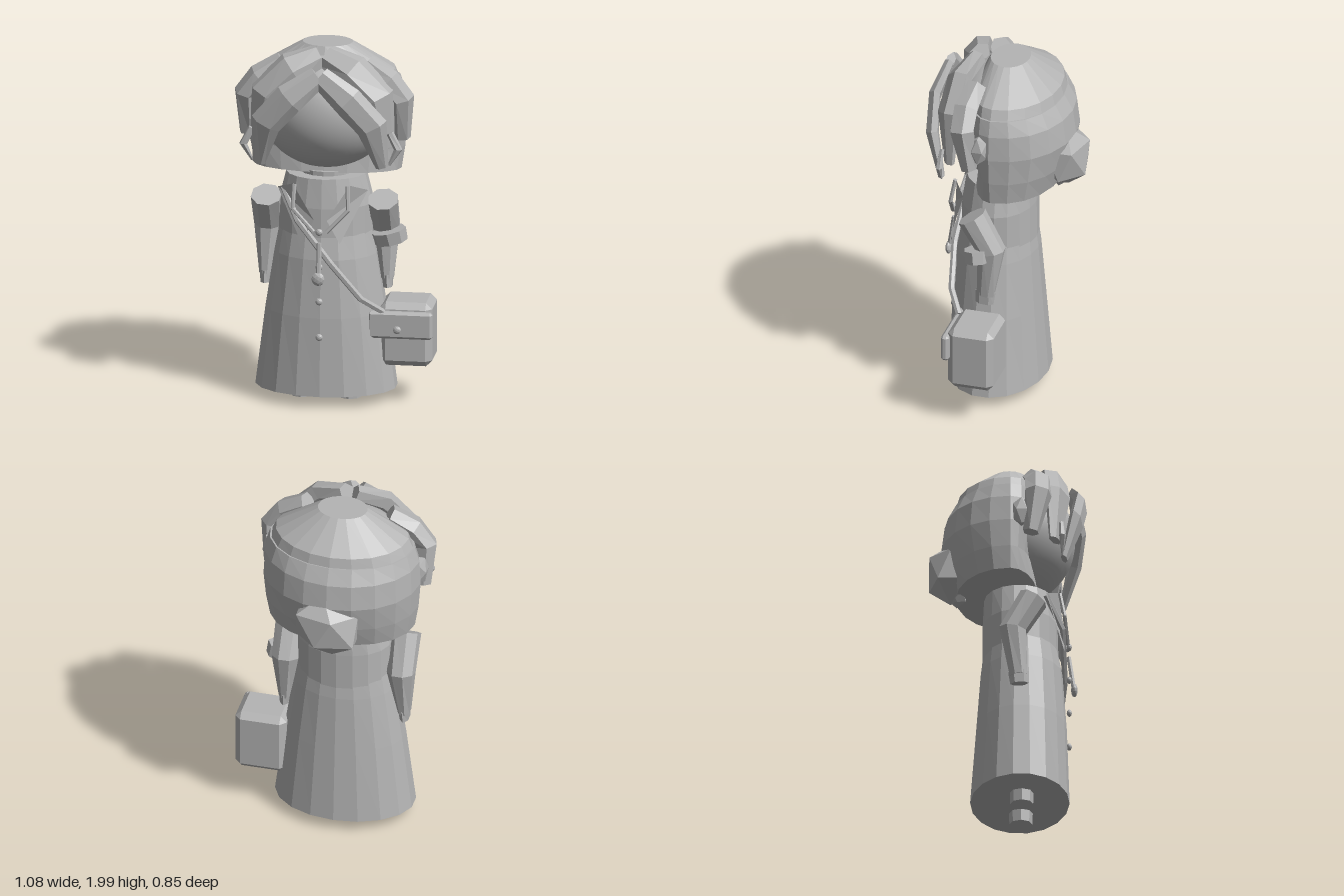
import * as THREE from 'three';
import { ConvexGeometry } from 'three/addons/geometries/ConvexGeometry.js';

const V = (x, y, z) => new THREE.Vector3(x, y, z);
const CX = -0.055; // mirror plane of the figure
const mirrored = (p) => [2 * CX - p[0], p[1], p[2]];

// Faceted copy of a geometry
function flat(geo) {
  const g = geo.index ? geo.toNonIndexed() : geo;
  g.computeVertexNormals();
  return g;
}

// Box with every edge cut at 45 degrees
function chamferBox(w, h, d, c) {
  const pts = [];
  for (const x of [-w / 2, w / 2]) for (const y of [-h / 2, h / 2]) for (const z of [-d / 2, d / 2]) {
    const ix = x - Math.sign(x) * c, iy = y - Math.sign(y) * c, iz = z - Math.sign(z) * c;
    pts.push(V(x, iy, iz), V(ix, y, iz), V(ix, iy, z));
  }
  return new ConvexGeometry(pts);
}

// Closed skin over cross-sections with equal point counts
function loft(sections) {
  const pos = [];
  const tri = (...p) => p.forEach((v) => pos.push(v.x, v.y, v.z));
  const n = sections[0].length;
  const middle = (s) => s.reduce((m, p) => m.add(p), V(0, 0, 0)).divideScalar(n);
  const first = sections[0], last = sections[sections.length - 1];
  const c0 = middle(first), c1 = middle(last);
  for (let i = 0; i < n; i++) {
    const j = (i + 1) % n;
    for (let k = 0; k < sections.length - 1; k++) {
      const a = sections[k], b = sections[k + 1];
      tri(a[i], a[j], b[i]);
      tri(a[j], b[j], b[i]);
    }
    tri(c0, first[j], first[i]);
    tri(c1, last[i], last[j]);
  }
  const g = new THREE.BufferGeometry();
  g.setAttribute('position', new THREE.Float32BufferAttribute(pos, 3));
  g.computeVertexNormals();
  return g;
}

// Upright form: rows of [y, half width, back z, front z] around a z centre
function upright(rows, cz, sides = 18) {
  return loft(rows.map(([y, rx, back, front]) =>
    Array.from({ length: sides }, (_, i) => {
      const a = (i / sides) * Math.PI * 2, c = Math.cos(a);
      return V(CX + rx * Math.sin(a), y, cz + c * (c > 0 ? front - cz : cz - back));
    })));
}

// Limb or lock: path points with [thickness, width] per point, facing away from a centre
function sweep(points, sizes, sides, centre) {
  const pts = points.map((p) => V(...p));
  return loft(pts.map((p, k) => {
    const t = pts[Math.min(k + 1, pts.length - 1)].clone()
      .sub(pts[Math.max(k - 1, 0)]).normalize();
    const n = p.clone().sub(centre);
    n.addScaledVector(t, -n.dot(t)).normalize();
    const s = t.clone().cross(n);
    return Array.from({ length: sides }, (_, i) => {
      const a = ((i + 0.5) / sides) * Math.PI * 2;
      return p.clone().addScaledVector(n, Math.cos(a) * sizes[k][0])
        .addScaledVector(s, Math.sin(a) * sizes[k][1]);
    });
  }));
}

// Thin cord through straight stretches
function cord(points, r) {
  return sweep(points, points.map(() => [r, r]), 6, V(CX, 0.9, -1));
}

export function createModel() {
  const model = new THREE.Group();
  model.name = 'figure';
  const grey = new THREE.MeshStandardMaterial({ color: 0xb4b4b4 });
  grey.name = 'plain grey';
  grey.side = THREE.DoubleSide;

  const add = (name, geo, at = [0, 0, 0]) => {
    const m = new THREE.Mesh(geo, grey);
    m.name = name;
    m.position.set(...at);
    model.add(m);
    return m;
  };
  const gem = (name, at, size, detail = 0) => {
    const m = add(name, flat(new THREE.IcosahedronGeometry(1, detail)), at);
    m.scale.set(...size);
    return m;
  };

  // Coat, upper body and neck
  add('coat', upright([
    [0.065, 0.385, -0.205, 0.33], [0.5, 0.33, -0.172, 0.315],
    [0.82, 0.28, -0.148, 0.292], [0.98, 0.25, -0.128, 0.262]], 0.065));
  add('upperBody', upright([
    [0.85, 0.258, -0.14, 0.272], [1.1, 0.258, -0.138, 0.265], [1.26, 0.218, -0.13, 0.242]], 0.06));
  add('neck', flat(new THREE.CylinderGeometry(0.15, 0.15, 0.07, 16)), [CX, 1.25, 0.03]);

  // Face and hair cap
  const face = new THREE.SphereGeometry(1, 40, 28);
  face.scale(0.37, 0.332, 0.335);
  add('face', face, [CX, 1.612, 0.025]);
  add('hairCap', upright([
    [1.275, 0.4, -0.282, 0.16], [1.4, 0.42, -0.325, 0.14], [1.55, 0.432, -0.36, 0.16],
    [1.69, 0.425, -0.342, 0.2], [1.775, 0.4, -0.295, 0.2], [1.775, 0.39, -0.29, 0.19],
    [1.83, 0.366, -0.275, 0.19], [1.97, 0.136, -0.1, 0.113]], 0.005, 20));

  // Bun at the back and a small loose tuft under it
  const bun = gem('bun', [-0.05, 1.415, -0.31], [0.21, 0.18, 0.135]);
  bun.rotation.z = 0.5;
  gem('bunTuft', [-0.05, 1.295, -0.275], [0.08, 0.065, 0.055]);

  // Parted fringe, three locks and a wisp on each side, each facing away from its own centre
  const locks = [
    ['frontLock', [CX, 1.55, -1.2],
      [[-0.06, 1.87, 0.35], [-0.215, 1.75, 0.385], [-0.345, 1.6, 0.36], [-0.39, 1.36, 0.295]],
      [[0.028, 0.06], [0.034, 0.085], [0.036, 0.085], [0.018, 0.035]]],
    ['middleLock', [CX, 1.58, -0.25],
      [[-0.075, 1.94, 0.19], [-0.22, 1.88, 0.245], [-0.365, 1.74, 0.26], [-0.41, 1.46, 0.245]],
      [[0.05, 0.07], [0.06, 0.1], [0.055, 0.1], [0.025, 0.045]]],
    ['outerLock', [CX, 1.58, 0],
      [[-0.28, 1.88, 0.13], [-0.405, 1.8, 0.155], [-0.478, 1.71, 0.155], [-0.47, 1.48, 0.115]],
      [[0.06, 0.06], [0.068, 0.076], [0.065, 0.075], [0.05, 0.045]]],
    ['wisp', [CX, 1.58, -1],
      [[-0.43, 1.55, 0.28], [-0.475, 1.46, 0.285], [-0.425, 1.37, 0.285]],
      [[0.014, 0.02], [0.018, 0.024], [0.005, 0.008]]],
  ];
  const arm = [[-0.372, 1.13, 0.13], [-0.375, 0.94, 0.02], [-0.385, 0.67, 0.05]];
  const hand = [[-0.385, 0.69, 0.05], [-0.388, 0.62, 0.055]];
  const lapel = [[-0.21, 1.24, 0.265], [-0.3, 1.2, 0.2], [-0.16, 0.92, 0.3], [-0.09, 1.05, 0.305]];
  const rim = [[-0.2, 1.24, 0.275], [-0.205, 1.11, 0.3], [-0.09, 0.99, 0.32]];

  for (const [side, m] of [['right', (p) => p], ['left', mirrored]]) {
    for (const [name, centre, path, sizes] of locks)
      add(side + ' ' + name, sweep(path.map(m), sizes, 6, V(...centre)));
    gem(side + ' ear', m([-0.475, 1.6, 0.065]), [0.04, 0.09, 0.055]);

    // Bent sleeve with a small hand
    const body = V(CX, 0.9, 0.04);
    add(side + ' sleeve', sweep(arm.map(m), [[0.085, 0.082], [0.078, 0.078], [0.036, 0.05]], 8, body));
    add(side + ' hand', sweep(hand.map(m), [[0.034, 0.056], [0.026, 0.05]], 6, body));

    // Foot
    add(side + ' foot', flat(new THREE.CylinderGeometry(0.068, 0.062, 0.2, 8)),
      m([-0.185, 0.1, 0.07]));

    // Lapel plate with raised edge
    const [a, b, c, d] = lapel.map((p) => V(...m(p)));
    const plate = new THREE.BufferGeometry().setFromPoints([a, b, d, b, c, d]);
    plate.computeVertexNormals();
    add(side + ' lapel', plate);
    add(side + ' lapelEdge', cord(rim.map(m), 0.012));
  }

  // Wristband on the left arm
  const band = add('wristband', flat(new THREE.CylinderGeometry(0.098, 0.092, 0.07, 8)),
    [0.292, 0.915, 0.088]);
  band.rotation.set(0.12, 0, 0.22);
  band.scale.z = 0.75;

  // Buttons and pendant
  for (const y of [0.99, 0.795, 0.6, 0.4]) gem('button', [-0.058, y, 0.328], [0.02, 0.02, 0.014], 1);
  add('pendantCord', cord([[-0.058, 0.93, 0.325], [-0.058, 0.76, 0.35]], 0.013));
  gem('pendant', [-0.06, 0.735, 0.355], [0.036, 0.038, 0.018], 1);

  // Shoulder bag: strap, body, flap and clasp
  add('bagStrap', cord([[-0.27, 1.2, 0.2], [-0.18, 1.04, 0.29], [0, 0.81, 0.305],
    [0.16, 0.61, 0.275], [0.27, 0.52, 0.2]], 0.018));
  add('bag', chamferBox(0.285, 0.355, 0.255, 0.034), [0.39, 0.388, 0.065]);
  add('bagFlap', chamferBox(0.35, 0.15, 0.046, 0.014), [0.365, 0.45, 0.203]);
  gem('bagClasp', [0.352, 0.43, 0.235], [0.022, 0.022, 0.014], 1);

  return model;
}
